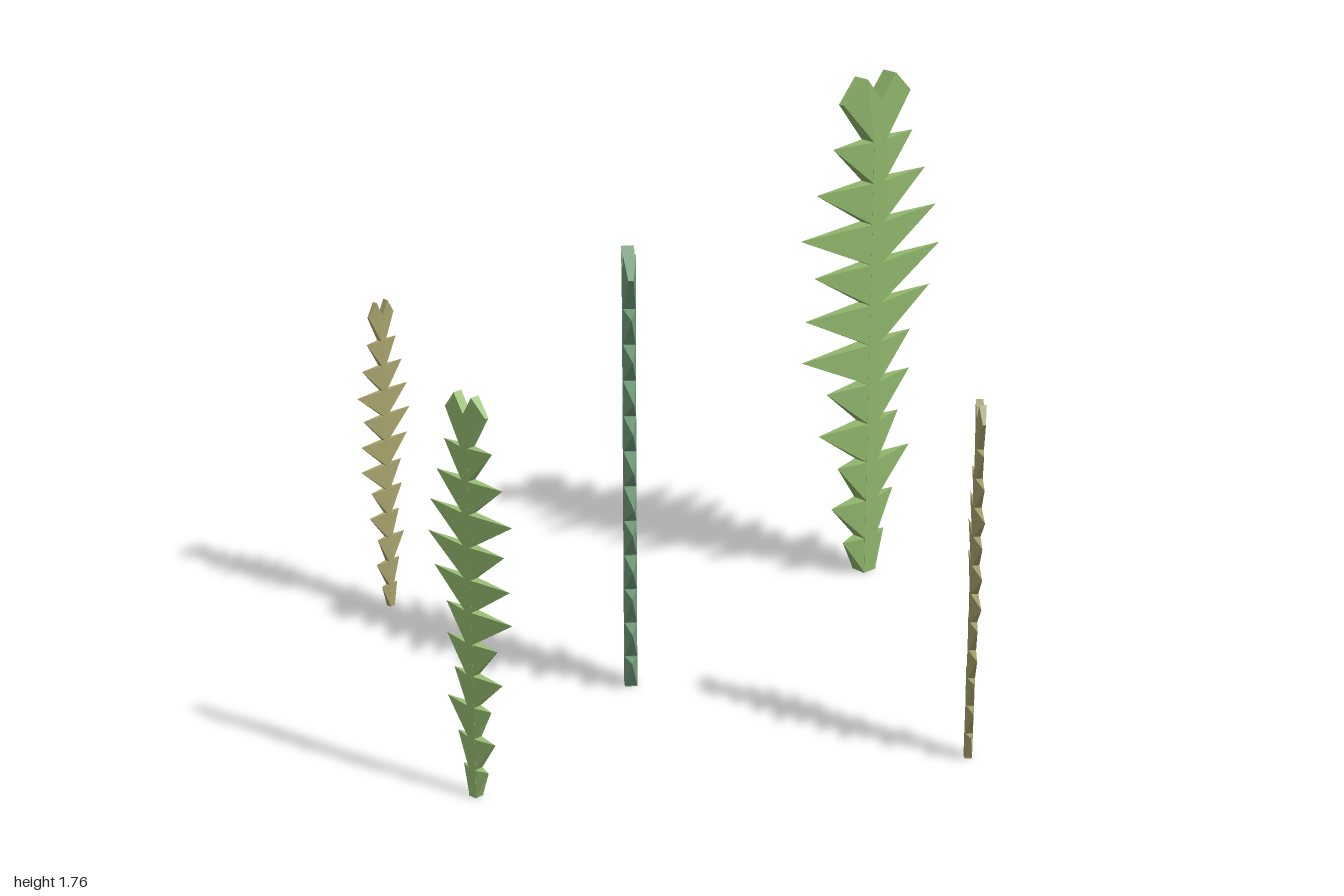
import * as THREE from 'three';
import { ConvexGeometry } from 'three/addons/geometries/ConvexGeometry.js';
import { mergeGeometries } from 'three/addons/utils/BufferGeometryUtils.js';

// Leaf lengths from bottom to top, as fractions of a plant's half width
const LEFT = [0.32, 0.5, 0.42, 0.7, 0.6, 0.96, 0.92, 0.8, 1, 0.79, 0.57];
const RIGHT = [0.28, 0.4, 0.63, 0.45, 0.6, 0.6, 0.87, 1, 0.93, 0.75, 0.55];

// x, z, height, half width, direction of the left leaves (dx, dz), colour
const PLANTS = [
  { x: 0.725, z: -0.757, h: 1.765, w: 0.34, dir: [-0.265, 0.212], color: 0x8fb56b },
  { x: -0.145, z: 0.107, h: 1.45, w: 0.235, dir: [0, 1], color: 0x719c79 },
  { x: -0.65, z: 0.833, h: 1.265, w: 0.175, dir: [0.12, 0.128], color: 0x98c074 },
  { x: -0.917, z: -0.57, h: 1.085, w: 0.116, dir: [-0.083, 0.08], color: 0xa8a26c },
  { x: 0.843, z: 0.697, h: 1.148, w: 0.132, dir: [0, 1], color: 0xa8a26c },
];

// Solid hull around [x, y, half thickness] points, mirrored in z
function hull(points) {
  const v = [];
  for (const [x, y, t] of points) {
    v.push(new THREE.Vector3(x, y, t));
    if (t > 0) v.push(new THREE.Vector3(x, y, -t));
  }
  return new ConvexGeometry(v);
}

function makePlant({ x, z, h, w, dir, color }, index) {
  const plant = new THREE.Group();
  plant.name = 'plant' + (index + 1);
  const material = new THREE.MeshStandardMaterial({ color, flatShading: true });
  const add = (name, geometry) => {
    const mesh = new THREE.Mesh(geometry, material);
    mesh.name = name;
    plant.add(mesh);
  };
  const s = w * 0.085; // half thickness of the stem
  const first = 0.0723 * h;
  const step = 0.0803 * h;

  // Square stem
  const stemHeight = 0.955 * h;
  add('stem', new THREE.BoxGeometry(2 * s, stemHeight, 2 * s).translate(0, stemHeight / 2, 0));

  // Leaves: flat-topped pyramids whose base lies on the stem
  const leaves = [];
  for (const [side, lengths] of [[1, LEFT], [-1, RIGHT]]) {
    lengths.forEach((length, k) => {
      const top = first + k * step;
      const bottom = Math.max(0, top - step);
      leaves.push(hull([
        [side * s * 0.9, bottom, s],
        [side * s * 0.9, top, s],
        [side * length * w, top, 0],
      ]));
    });
  }
  add('leaves', mergeGeometries(leaves));

  // Crown: two lobes with a notch between them
  const lobes = [1, -1].map((side) => hull([
    [0, 0.875 * h, s],
    [side * s, 0.875 * h, s],
    [side * 0.47 * w, 0.957 * h, s * 0.4],
    [side * 0.2 * w, h, s],
    [0, 0.955 * h, s],
  ]));
  add('crown', mergeGeometries(lobes));

  plant.position.set(x, 0, z);
  plant.rotation.y = Math.atan2(-dir[1], dir[0]);
  return plant;
}

export function createModel() {
  const model = new THREE.Group();
  model.name = 'seaweedPatch';
  PLANTS.forEach((p, i) => model.add(makePlant(p, i)));
  return model;
}
